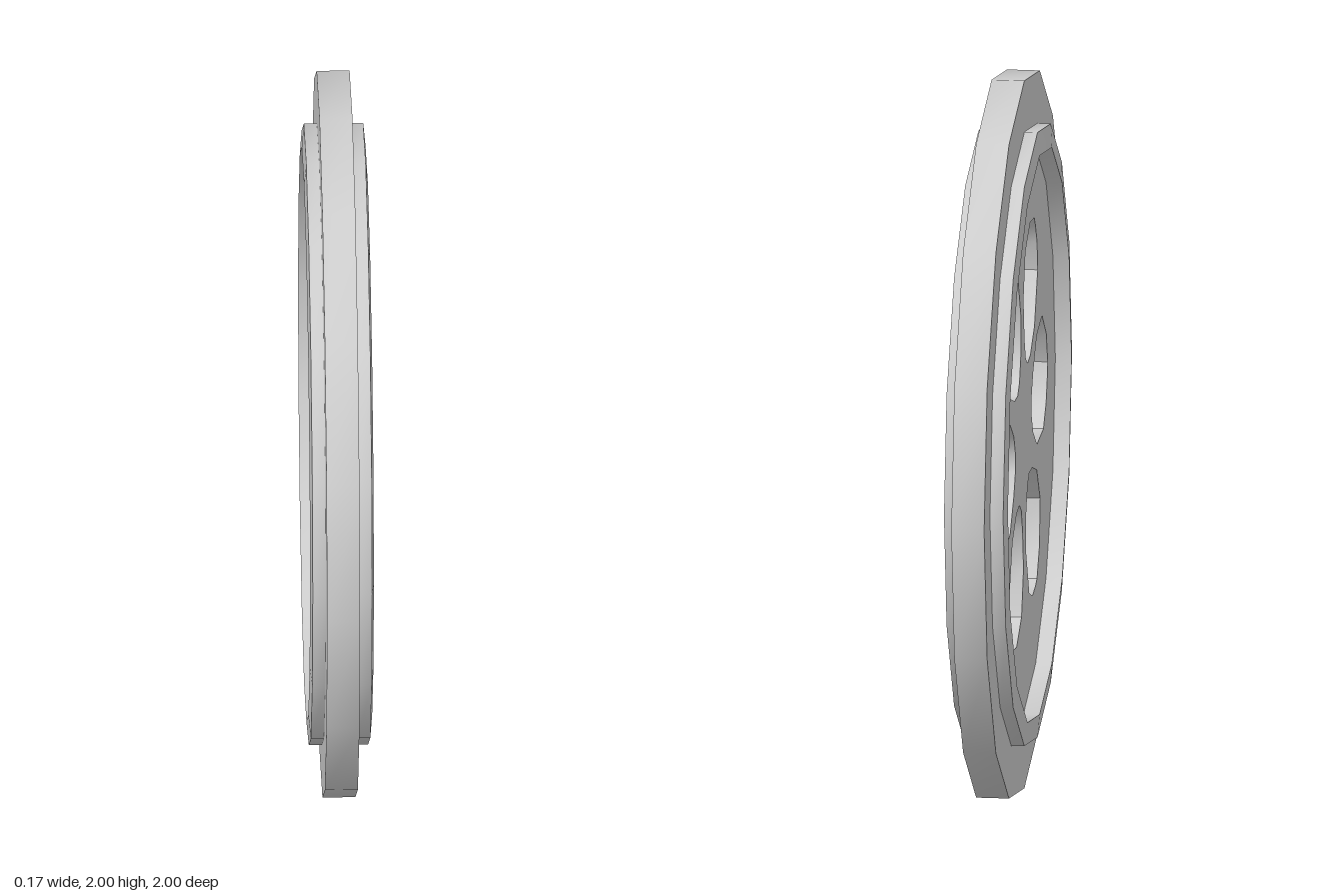
import * as THREE from 'three';
import { toCreasedNormals } from 'three/addons/utils/BufferGeometryUtils.js';

const SIDES = 16;

export function createModel() {
  const wheel = new THREE.Group();
  wheel.name = 'wheel';
  const metal = new THREE.MeshStandardMaterial({ color: 0xcccccc });
  metal.name = 'light grey';

  const add = (name, geometry) => {
    const mesh = new THREE.Mesh(toCreasedNormals(geometry, 0.6), metal);
    mesh.name = name;
    mesh.position.y = 1;
    wheel.add(mesh);
  };

  // Rim with a raised lip on both faces: [radius, distance along the axle]
  const half = [[1, 0.045], [0.855, 0.045], [0.855, 0.081], [0.79, 0.087]];
  const mirrored = half.map(([r, a]) => [r, -a]).reverse();
  // outer surface first, then back down the inner wall
  const loop = [...mirrored, ...half, mirrored[0]];
  const rim = new THREE.LatheGeometry(loop.map(([r, a]) => new THREE.Vector2(r, a)), SIDES);
  rim.rotateZ(-Math.PI / 2);
  add('rim', rim);

  // Recessed web with six rounded openings
  const web = new THREE.Shape();
  const corners = [];
  for (let i = 0; i < SIDES; i++) {
    const t = (i / SIDES) * Math.PI * 2;
    corners.push(new THREE.Vector2(Math.cos(t) * 0.795, Math.sin(t) * 0.795));
  }
  web.setFromPoints(corners);

  const opening = [
    [-0.6, 0.04], [-0.565, 0.13], [-0.46, 0.21], [-0.33, 0.19], [-0.24, 0.11], [-0.2, 0.05],
    [-0.2, 0], [-0.24, -0.06], [-0.335, -0.12], [-0.495, -0.12], [-0.56, -0.065], [-0.59, 0],
  ].map(([x, y]) => new THREE.Vector2(x, y));
  const centre = new THREE.Vector2();
  for (let i = 0; i < 6; i++) {
    const turned = opening.map((p) => p.clone().rotateAround(centre, (i * Math.PI) / 3));
    web.holes.push(new THREE.Path(turned));
  }

  const depth = 0.085;
  const disc = new THREE.ExtrudeGeometry(web, { depth, bevelEnabled: false });
  disc.translate(0, 0, -depth / 2);
  disc.rotateY(Math.PI / 2);
  add('web', disc);

  return wheel;
}
